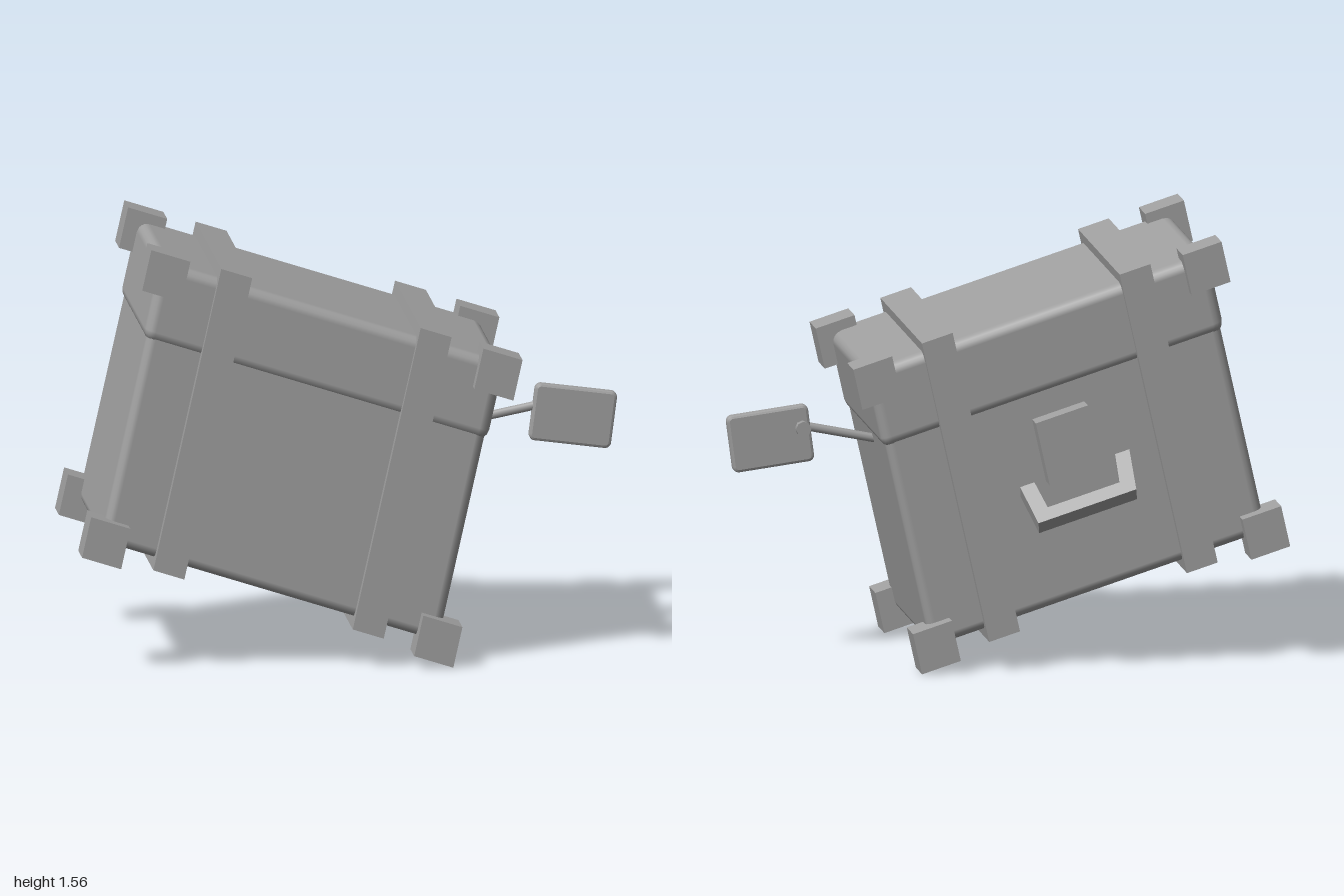
import * as THREE from 'three';
import { RoundedBoxGeometry } from 'three/addons/geometries/RoundedBoxGeometry.js';

export function createModel() {
  const group = new THREE.Group();
  const grey = new THREE.MeshStandardMaterial({ color: 0xa0a0a0 });
  grey.name = 'grey';

  // The chest leans and is slightly skewed: its own axes expressed in the model frame
  const lean = new THREE.Matrix4().set(
    0.9527, 0.218, 0, -0.204,
    -0.304, 0.976, 0, 0.782,
    0, 0, 1, 0.071,
    0, 0, 0, 1);

  const add = (name, geometry) => {
    const mesh = new THREE.Mesh(geometry, grey);
    mesh.name = name;
    group.add(mesh);
    return mesh;
  };
  const addLeaning = (name, geometry) => add(name, geometry.applyMatrix4(lean));

  // Chest body and slightly larger lid, both with softened edges
  addLeaning('body', new RoundedBoxGeometry(1.29, 0.81, 0.85, 2, 0.035).translate(0, -0.107, 0));
  addLeaning('lid', new RoundedBoxGeometry(1.314, 0.296, 0.87, 2, 0.04).translate(0, 0.392, 0));

  // Corner blocks
  for (const x of [-1, 1]) for (const y of [-1, 1]) for (const z of [-1, 1]) {
    addLeaning('cornerBlock', new THREE.BoxGeometry(0.149, 0.152, 0.139)
      .translate(x * 0.633, y * 0.501, z * 0.417));
  }

  // Two straps running round the chest
  const rectangle = (path, z, low, high) => {
    path.moveTo(-z, low);
    path.lineTo(z, low);
    path.lineTo(z, high);
    path.lineTo(-z, high);
    path.closePath();
    return path;
  };
  for (const side of [-1, 1]) {
    const ring = rectangle(new THREE.Shape(), 0.462, -0.551, 0.58);
    ring.holes.push(rectangle(new THREE.Path(), 0.41, -0.495, 0.525));
    addLeaning('strap', new THREE.ExtrudeGeometry(ring, { depth: 0.118, bevelEnabled: false })
      .translate(0, 0, -0.059).rotateY(Math.PI / 2).translate(side * 0.38, 0, 0));
  }

  // Back plate with the carrying handle hanging out from it
  addLeaning('backPlate', new THREE.BoxGeometry(0.2, 0.235, 0.09).translate(0.003, 0.053, -0.463));
  const u = new THREE.Shape([
    [-0.21, 0], [-0.155, 0], [-0.138, 0.12], [0.138, 0.12],
    [0.155, 0], [0.21, 0], [0.188, 0.172], [-0.188, 0.172],
  ].map(([x, y]) => new THREE.Vector2(x, y)));
  addLeaning('backHandle', new THREE.ExtrudeGeometry(u, { depth: 0.065, bevelEnabled: false })
    .translate(0, 0, -0.0325).rotateX(-0.75 * Math.PI).translate(0, -0.058, -0.481));

  // Side lever: thin rod, rounded paddle and the small pivot behind it
  const start = new THREE.Vector3(0.44, 0.801, -0.018);
  const end = new THREE.Vector3(0.72, 0.858, -0.018);
  add('leverRod', new THREE.TubeGeometry(new THREE.LineCurve3(start, end), 1, 0.016, 8));

  const w = 0.15, h = 0.105, r = 0.022;
  const outline = new THREE.Shape();
  outline.absarc(w - r, h - r, r, 0, Math.PI / 2);
  outline.absarc(r - w, h - r, r, Math.PI / 2, Math.PI);
  outline.absarc(r - w, r - h, r, Math.PI, 1.5 * Math.PI);
  outline.absarc(w - r, r - h, r, 1.5 * Math.PI, 2 * Math.PI);
  outline.closePath();
  add('leverPaddle', new THREE.ExtrudeGeometry(outline, {
    depth: 0.024, bevelThickness: 0.01, bevelSize: 0.01, bevelOffset: -0.01,
    bevelSegments: 2, curveSegments: 4,
  }).translate(0, 0, -0.012).rotateZ(-0.13).translate(0.836, 0.815, -0.018));

  add('leverPivot', new THREE.CylinderGeometry(0.028, 0.028, 0.05, 8)
    .rotateX(Math.PI / 2).translate(0.72, 0.852, -0.043));

  return group;
}
